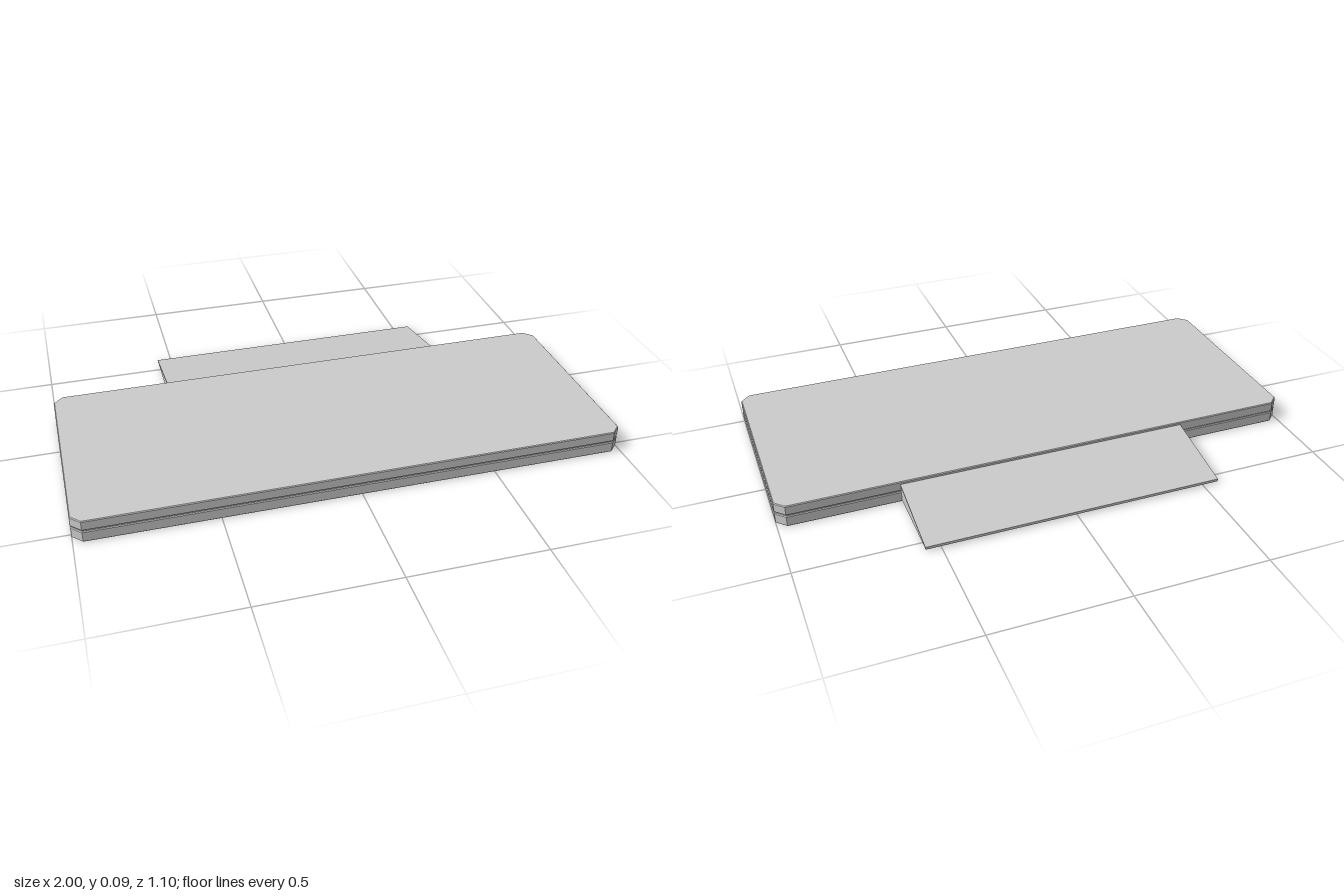
import * as THREE from 'three';

const grey = new THREE.MeshStandardMaterial({ color: 0xcccccc, flatShading: true });

// Rectangular slab with cut corners and finely bevelled rims
function slab(name, y0, y1, inset, bevel) {
  const x = 1 - inset - bevel, z0 = -0.248 + inset + bevel, z1 = 0.55 - inset - bevel, c = 0.033;
  const outline = [
    [-x + c, z0], [x - c, z0], [x, z0 + c], [x, z1 - c],
    [x - c, z1], [-x + c, z1], [-x, z1 - c], [-x, z0 + c],
  ].map(([px, pz]) => new THREE.Vector2(px, -pz));
  const geo = new THREE.ExtrudeGeometry(new THREE.Shape(outline), {
    depth: y1 - y0 - 2 * bevel, bevelEnabled: bevel > 0,
    bevelSize: bevel, bevelThickness: bevel, bevelSegments: 1,
  });
  geo.rotateX(-Math.PI / 2).translate(0, y0 + bevel, 0);
  const mesh = new THREE.Mesh(geo, grey);
  mesh.name = name;
  return mesh;
}

// Side profile of [z, y] points swept across the width
function sweep(name, profile, halfWidth) {
  const shape = new THREE.Shape(profile.map(([z, y]) => new THREE.Vector2(-z, y)));
  const geo = new THREE.ExtrudeGeometry(shape, { depth: 2 * halfWidth, bevelEnabled: false });
  geo.translate(0, 0, -halfWidth).rotateY(Math.PI / 2);
  const mesh = new THREE.Mesh(geo, grey);
  mesh.name = name;
  return mesh;
}

export function createModel() {
  const model = new THREE.Group();
  model.name = 'platformWithRamp';

  // Two stacked slabs with a recessed seam between them
  model.add(
    slab('lowerSlab', 0, 0.0425, 0, 0.003),
    slab('seam', 0.04, 0.049, 0.004, 0),
    slab('upperSlab', 0.0465, 0.085, 0, 0.003),
  );

  // Rear ramp: solid wedge under a thin sloping plate
  const ramp = new THREE.Group();
  ramp.name = 'ramp';
  ramp.add(
    sweep('rampWedge', [[-0.24, 0.006], [-0.24, 0.071], [-0.545, 0.014], [-0.545, 0.006]], 0.555),
    sweep('rampPlate', [[-0.24, 0.07], [-0.24, 0.076], [-0.55, 0.018], [-0.55, 0.008], [-0.543, 0.008], [-0.543, 0.0135]], 0.557),
  );
  model.add(ramp);
  return model;
}
